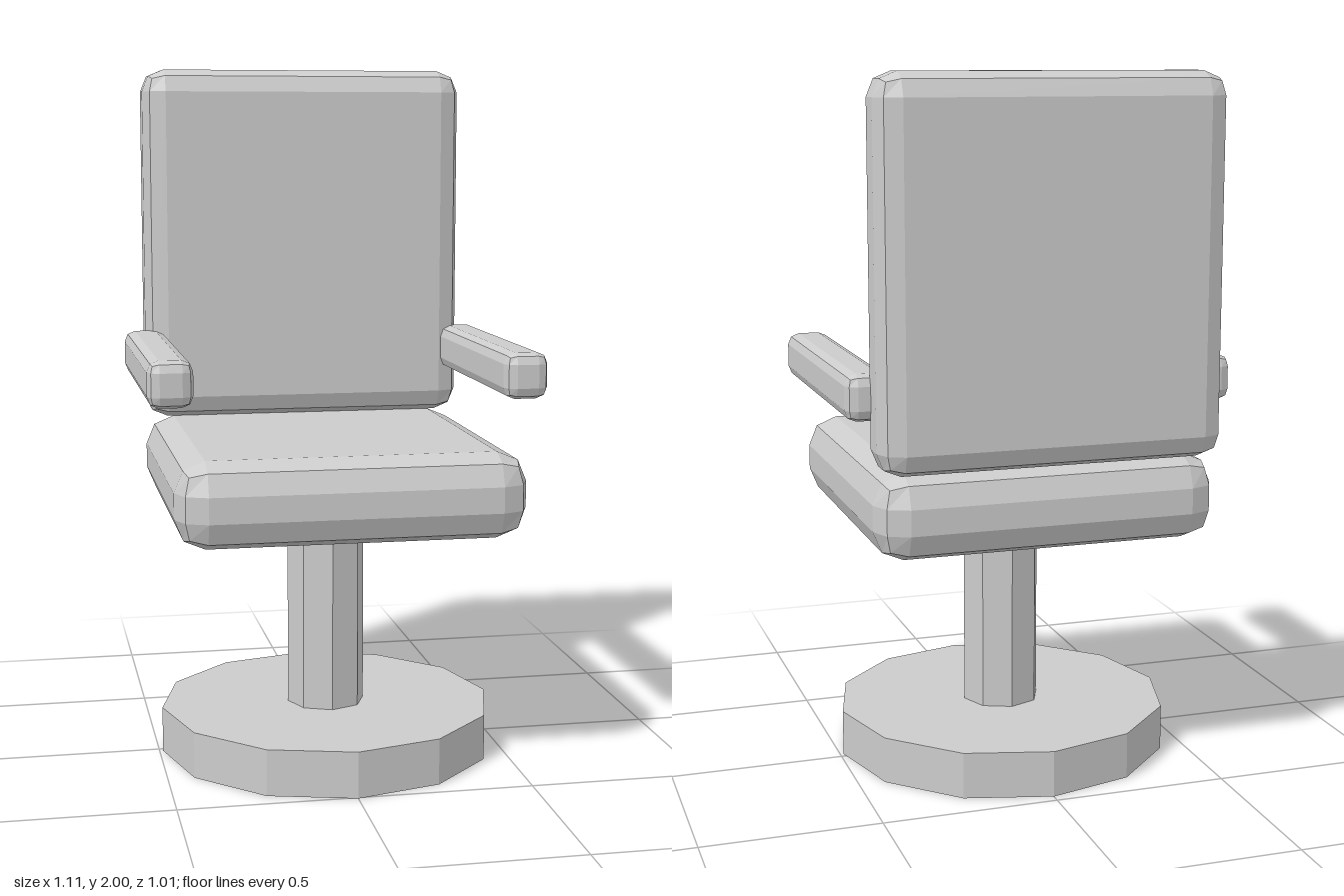
import * as THREE from 'three';
import { RoundedBoxGeometry } from 'three/addons/geometries/RoundedBoxGeometry.js';

// Give every facet its own flat normal
function faceted(geometry) {
  const flat = geometry.index ? geometry.toNonIndexed() : geometry;
  flat.computeVertexNormals();
  return flat;
}

export function createModel() {
  const group = new THREE.Group();
  const grey = new THREE.MeshStandardMaterial({ color: 0xcccccc });
  grey.name = 'grey';

  function add(name, geometry, x, y, z) {
    const mesh = new THREE.Mesh(faceted(geometry), grey);
    mesh.name = name;
    mesh.position.set(x, y, z);
    group.add(mesh);
  }

  // Box with a two-step bevel on every edge
  const cushion = (w, h, d, r) => new RoundedBoxGeometry(w, h, d, 1, r);

  const centreZ = 0.017;

  // Pedestal: twelve-sided foot and eight-sided column
  add('base', new THREE.CylinderGeometry(0.49, 0.49, 0.133, 12), 0, 0.0665, centreZ);
  add('column', new THREE.CylinderGeometry(0.114, 0.114, 0.6, 8), 0, 0.42, centreZ);

  // Upholstery
  add('seat', cushion(0.98, 0.243, 0.98, 0.085), 0, 0.8205, centreZ);
  add('backrest', cushion(0.98, 1.057, 0.194, 0.066), 0, 1.4715, -0.41);

  // Mirrored armrests
  for (const [name, side] of [['leftArmrest', 1], ['rightArmrest', -1]]) {
    add(name, cushion(0.125, 0.13, 0.81, 0.032), side * 0.4925, 1.147, 0.017);
  }

  return group;
}
